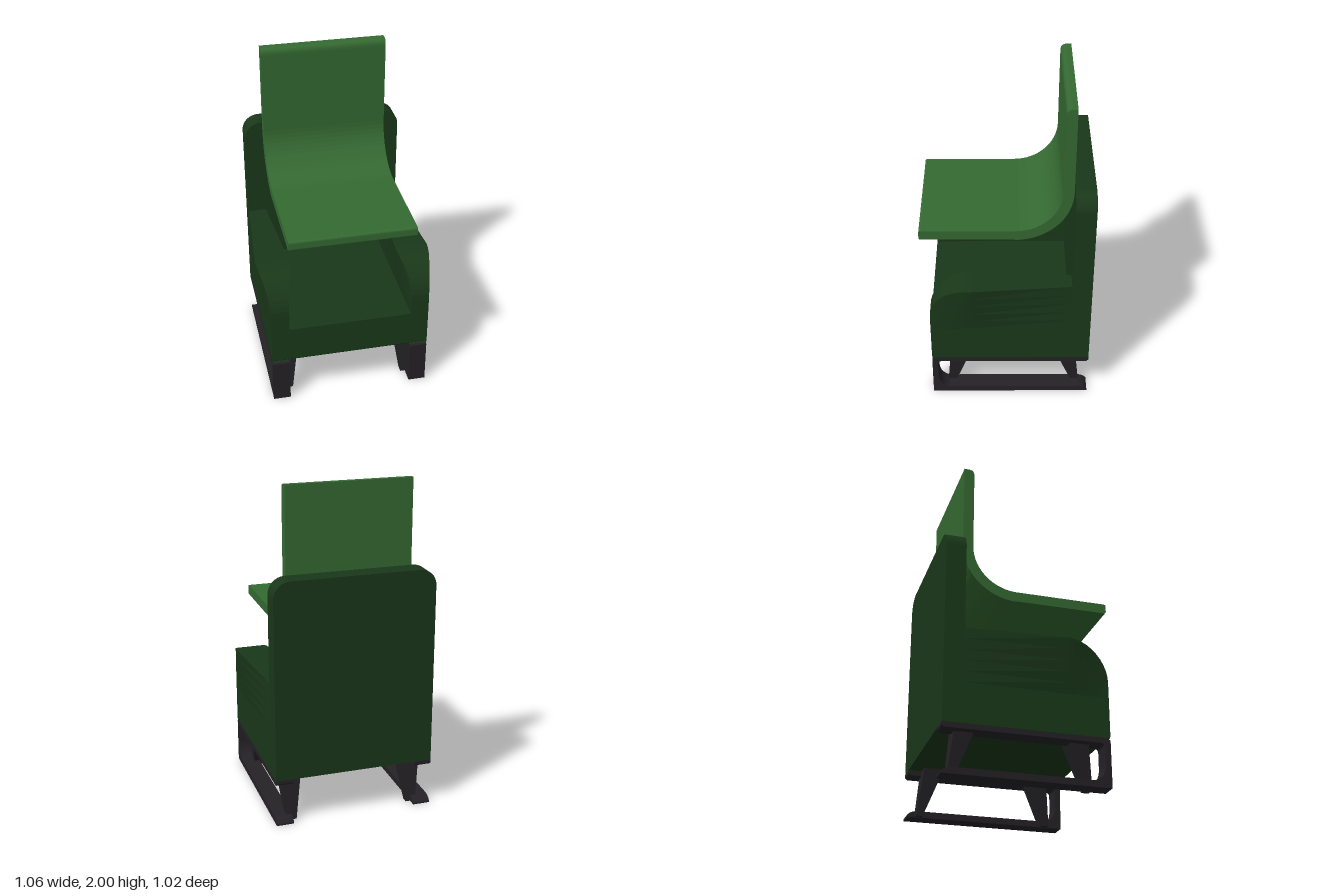
import * as THREE from 'three';

const mat = (color) => new THREE.MeshStandardMaterial({ color, flatShading: true });

export function createModel() {
  const group = new THREE.Group();
  const dark = mat(0x1a381a), light = mat(0x356a32), black = mat(0x242226);

  function add(name, geometry, material, x = 0) {
    const mesh = new THREE.Mesh(geometry, material);
    mesh.name = name;
    mesh.position.x = x;
    group.add(mesh);
  }

  // Side profile drawn in (z, y), extruded across x and centred on it
  function sideExtrude(shape, width, curveSegments = 8) {
    const g = new THREE.ExtrudeGeometry(shape, { depth: width, bevelEnabled: false, curveSegments });
    g.rotateY(-Math.PI / 2);
    g.translate(width / 2, 0, 0);
    return g;
  }
  const polygon = (pts) => new THREE.Shape(pts.map(([a, b]) => new THREE.Vector2(a, b)));

  // Seat block between the arms
  add('seat', sideExtrude(polygon([
    [-0.39, 0.29], [0.445, 0.29], [0.46, 0.305], [0.46, 0.53], [-0.39, 0.53],
  ]), 0.75), dark);

  // Backrest with rounded top corners
  const back = new THREE.Shape();
  back.moveTo(-0.485, 0.29);
  back.lineTo(0.485, 0.29);
  back.lineTo(0.485, 1.39);
  back.absarc(0.385, 1.39, 0.1, 0, Math.PI / 2);
  back.lineTo(-0.385, 1.49);
  back.absarc(-0.385, 1.39, 0.1, Math.PI / 2, Math.PI);
  const backGeometry = new THREE.ExtrudeGeometry(back, { depth: 0.12, bevelEnabled: false, curveSegments: 8 });
  backGeometry.translate(0, 0, -0.507);
  add('backrest', backGeometry, dark);

  // Arms: a box bent to a rounded front, swelling sideways towards the top
  const rows = 7, stations = 11;
  const arm = new THREE.BoxGeometry(1, 1, 1, 1, rows, stations);
  const p = arm.attributes.position;
  for (let i = 0; i < p.count; i++) {
    const row = Math.round((p.getY(i) + 0.5) * rows);
    const station = Math.round((p.getZ(i) + 0.5) * stations);
    const a = (Math.max(station - 1, 0) / (stations - 1)) * Math.PI / 2;
    let z = station === 0 ? -0.39 : 0.21 + 0.25 * Math.sin(a);
    const top = 0.63 + 0.23 * Math.cos(a);
    const y = row === 0 ? 0.29 : row === 1 ? 0.305 : 0.53 + (top - 0.53) * (row - 2) / (rows - 2);
    const alongZ = station === 0 ? 0 : 1 - Math.pow(Math.sin(a), 1.6);
    const swell = 0.046 * alongZ * Math.max(0, (y - 0.53) / 0.33);
    if (row === 0 && station === stations) z = 0.445;
    p.setXYZ(i, Math.sign(p.getX(i)) * (0.055 + swell), y, z);
  }
  arm.computeVertexNormals();

  // Curved panel floating over the seat
  const panel = new THREE.Shape();
  panel.moveTo(-0.05, 1.13);
  panel.lineTo(0.495, 1.13);
  panel.quadraticCurveTo(0.51, 1.13, 0.51, 1.145);
  panel.lineTo(0.51, 1.175);
  panel.quadraticCurveTo(0.51, 1.19, 0.495, 1.19);
  panel.lineTo(-0.05, 1.19);
  panel.absarc(-0.05, 1.46, 0.27, -Math.PI / 2, -Math.PI, true);
  panel.lineTo(-0.32, 1.96);
  panel.quadraticCurveTo(-0.32, 2, -0.355, 2);
  panel.lineTo(-0.383, 2);
  panel.lineTo(-0.383, 1.46);
  panel.absarc(-0.05, 1.46, 0.333, Math.PI, Math.PI * 1.5);
  add('curvedPanel', sideExtrude(panel, 0.755), light);

  // Sled runner: top rail, front post and floor bar, open at the back
  const runner = new THREE.Shape();
  runner.moveTo(-0.507, 0);
  runner.lineTo(0.46, 0);
  runner.lineTo(0.46, 0.275);
  runner.lineTo(0.445, 0.29);
  runner.lineTo(-0.507, 0.29);
  runner.lineTo(-0.507, 0.27);
  runner.lineTo(-0.495, 0.258);
  runner.lineTo(0.4, 0.258);
  runner.quadraticCurveTo(0.425, 0.258, 0.425, 0.23);
  runner.lineTo(0.425, 0.14);
  runner.quadraticCurveTo(0.425, 0.06, 0.36, 0.038);
  runner.lineTo(-0.45, 0.038);
  runner.quadraticCurveTo(-0.485, 0.036, -0.507, 0.01);
  const runnerGeometry = sideExtrude(runner, 0.105);

  // Tapered splayed leg, given as [outer x, inner x, z0, z1] at top and foot
  function legGeometry(side, top, foot) {
    const g = new THREE.BoxGeometry(1, 1, 1);
    const q = g.attributes.position;
    for (let i = 0; i < q.count; i++) {
      const up = q.getY(i) > 0;
      const [outer, inner, z0, z1] = up ? top : foot;
      const x = q.getX(i) * side > 0 ? outer : inner;
      q.setXYZ(i, side * x, up ? 0.29 : 0.002, q.getZ(i) > 0 ? z1 : z0);
    }
    g.computeVertexNormals();
    return g;
  }

  for (const side of [1, -1]) {
    const label = side > 0 ? 'left' : 'right';
    add(label + 'Arm', arm, dark, side * 0.43);
    add(label + 'Runner', runnerGeometry, black, side * 0.4325);
    add(label + 'FrontLeg', legGeometry(side, [0.44, 0.312, 0.225, 0.345], [0.41, 0.35, 0.325, 0.37]), black);
    add(label + 'BackLeg', legGeometry(side, [0.44, 0.312, -0.425, -0.305], [0.41, 0.35, -0.458, -0.418]), black);
  }
  return group;
}
